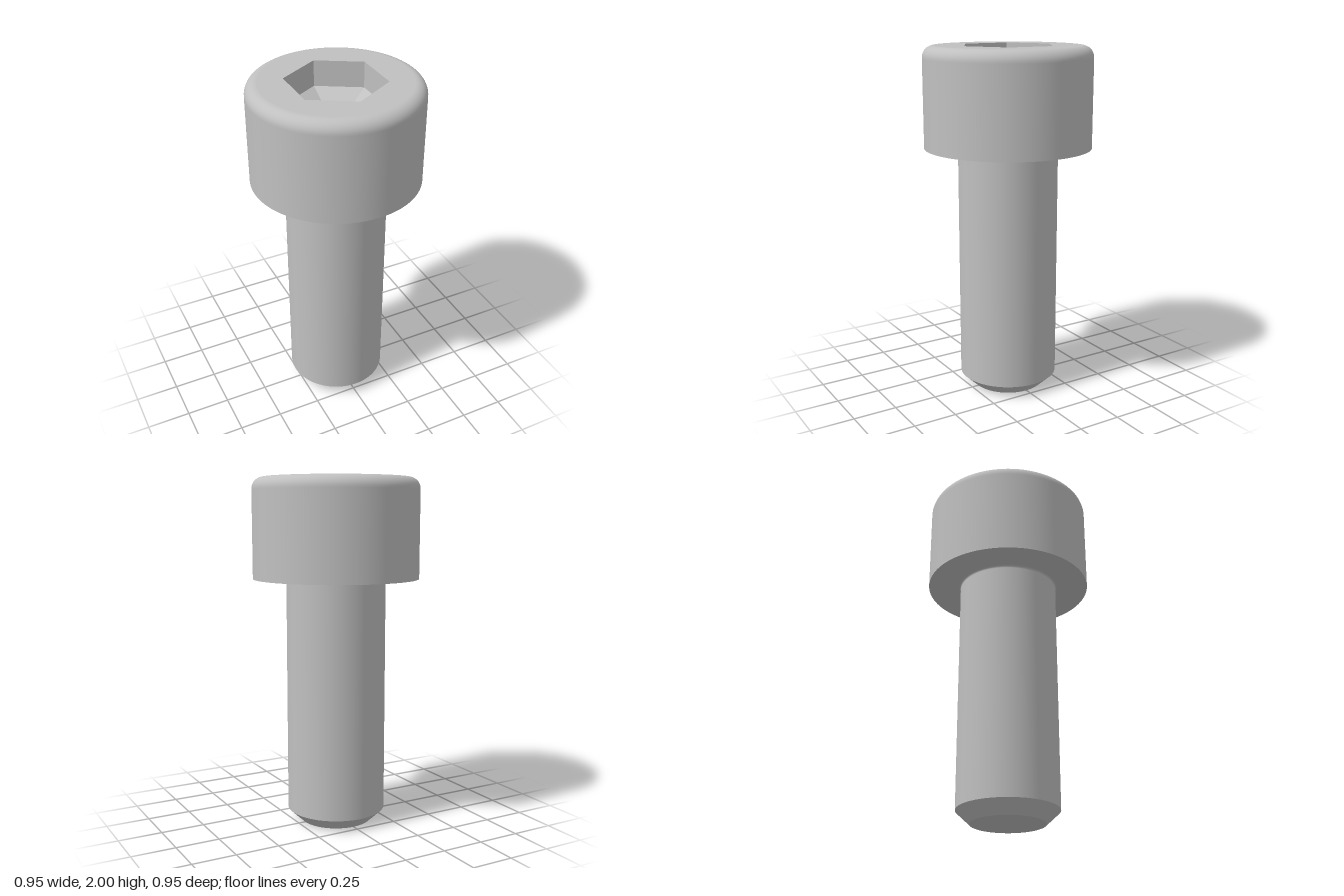
import * as THREE from 'three';

const SEGMENTS = 96;
const HEAD_R = 0.476, HEAD_BOTTOM = 1.43, TOP = 2, ROUND = 0.066;
const SHANK_R = 0.285, CHAMFER_R = 0.208, CHAMFER_H = 0.072, FILLET = 0.012;
const HEX_R = 0.275, WALL_DEPTH = 0.149, CONE_DEPTH = 0.137;

export function createModel() {
  const steel = new THREE.MeshStandardMaterial({ color: 0xc0c0c0 });
  steel.name = 'grey steel';
  const model = new THREE.Group();
  model.name = 'socketHeadBolt';

  const add = (name, geometry) => {
    const mesh = new THREE.Mesh(geometry, steel);
    mesh.name = name;
    model.add(mesh);
  };
  // Each smooth surface is its own lathe, so edges between them stay sharp
  const lathe = (name, points) =>
    add(name, new THREE.LatheGeometry(points.map(p => new THREE.Vector2(...p)), SEGMENTS));
  // Quarter round profile from angle a to angle b
  const arc = (cx, cy, r, a, b, steps) => Array.from({ length: steps + 1 }, (_, i) => {
    const t = a + (b - a) * i / steps;
    return [cx + r * Math.cos(t), cy + r * Math.sin(t)];
  });

  // Shank with chamfered tip and a tiny fillet under the head
  lathe('tipFace', [[0, 0], [CHAMFER_R, 0]]);
  lathe('tipChamfer', [[CHAMFER_R, 0], [SHANK_R, CHAMFER_H]]);
  lathe('shank', [
    [SHANK_R, CHAMFER_H], [SHANK_R, HEAD_BOTTOM - FILLET - 0.003],
    ...arc(SHANK_R + FILLET, HEAD_BOTTOM - FILLET, FILLET, Math.PI, Math.PI / 2, 5),
  ]);

  // Head with rounded top rim
  lathe('headUnderside', [[SHANK_R + FILLET, HEAD_BOTTOM], [HEAD_R, HEAD_BOTTOM]]);
  lathe('headSide', [
    [HEAD_R, HEAD_BOTTOM], [HEAD_R, TOP - ROUND - 0.005],
    ...arc(HEAD_R - ROUND, TOP - ROUND, ROUND, 0, Math.PI / 2, 12),
  ]);

  // Flat top ring with a hexagonal opening
  const ring = new THREE.Shape().absarc(0, 0, HEAD_R - ROUND, 0, Math.PI * 2);
  const hexagon = Array.from({ length: 6 }, (_, i) => {
    const a = i * Math.PI / 3;
    return new THREE.Vector2(HEX_R * Math.sin(a), HEX_R * Math.cos(a));
  });
  ring.holes.push(new THREE.Path(hexagon));
  add('headTop', new THREE.ShapeGeometry(ring, SEGMENTS).rotateX(-Math.PI / 2).translate(0, TOP, 0));

  // Hex socket: mirrored so the faceted surfaces face inwards
  const socketPart = (name, bottomR, height, topY) => {
    const g = new THREE.CylinderGeometry(HEX_R, bottomR, height, 6, 1, true).toNonIndexed();
    const p = g.attributes.position;
    for (let i = 0; i < p.count; i += 3) {
      // Swap two corners of each triangle to turn it round
      const a = new THREE.Vector3().fromBufferAttribute(p, i + 1);
      const b = new THREE.Vector3().fromBufferAttribute(p, i + 2);
      p.setXYZ(i + 1, b.x, b.y, b.z);
      p.setXYZ(i + 2, a.x, a.y, a.z);
    }
    g.computeVertexNormals();
    add(name, g.translate(0, topY - height / 2, 0));
  };
  socketPart('socketWalls', HEX_R, WALL_DEPTH, TOP);
  socketPart('socketFloor', 0, CONE_DEPTH, TOP - WALL_DEPTH);

  return model;
}
